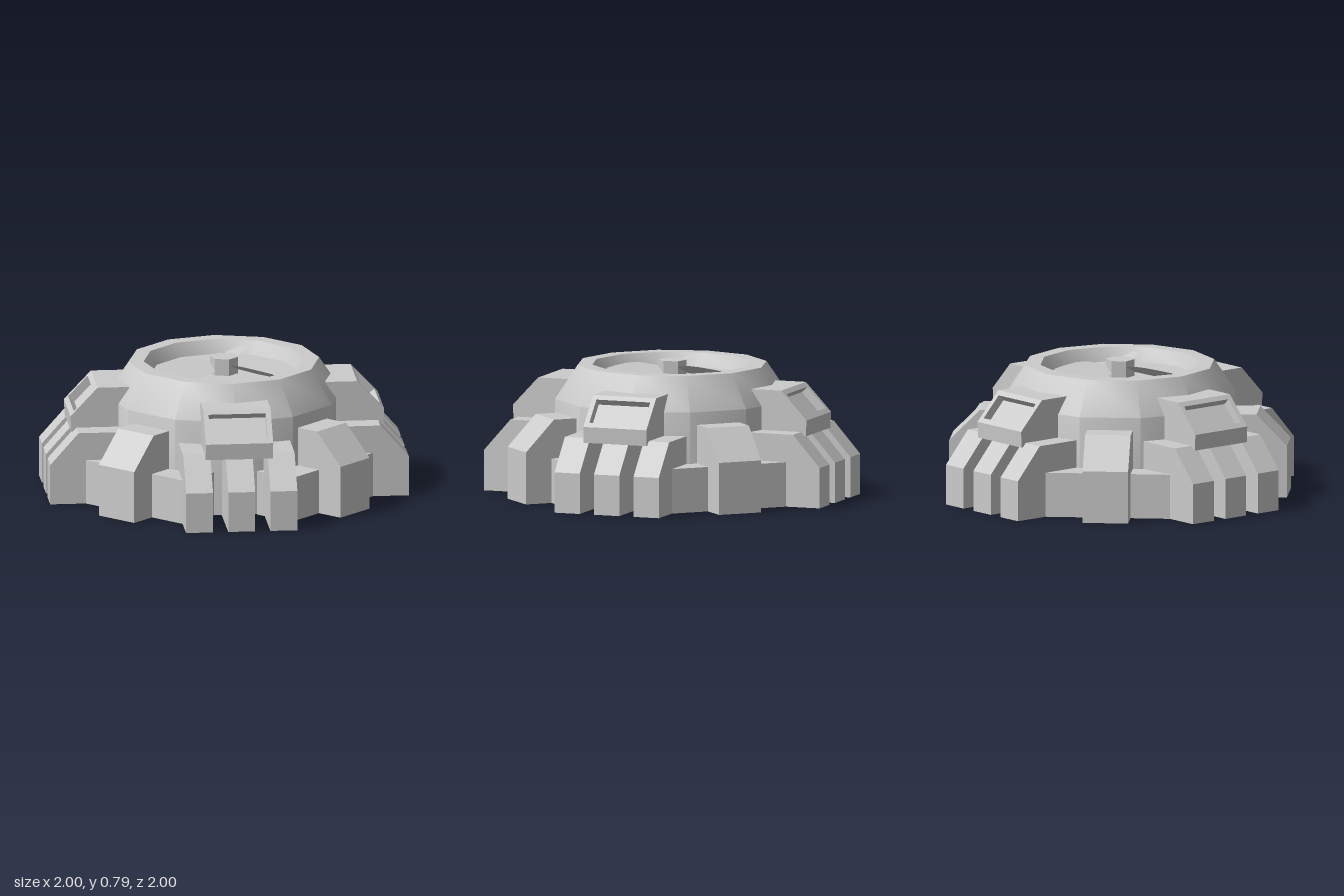
import * as THREE from 'three';
import { toCreasedNormals } from 'three/addons/utils/BufferGeometryUtils.js';

const material = new THREE.MeshStandardMaterial({ color: 0xcccccc, side: THREE.DoubleSide });

function add(parent, name, geometry) {
  const mesh = new THREE.Mesh(geometry, material);
  mesh.name = name;
  parent.add(mesh);
  return mesh;
}

// Drop the faces lying on the ground, so the part is an open shell below
function openBottom(geometry) {
  const p = geometry.attributes.position;
  const kept = [];
  for (let i = 0; i < p.count; i += 3) {
    if (Math.max(p.getY(i), p.getY(i + 1), p.getY(i + 2)) < 1e-4) continue;
    for (let j = i; j < i + 3; j++) kept.push(p.getX(j), p.getY(j), p.getZ(j));
  }
  const open = new THREE.BufferGeometry();
  open.setAttribute('position', new THREE.Float32BufferAttribute(kept, 3));
  open.computeVertexNormals();
  return open;
}

const toShape = (points) => new THREE.Shape(points.map(([x, y]) => new THREE.Vector2(x, y)));

// Side profile (distance outwards, height) extruded to a width, centred on an offset
function prism(profile, width, offset = 0) {
  const g = new THREE.ExtrudeGeometry(toShape(profile), { depth: width, bevelEnabled: false });
  g.translate(0, 0, offset - width / 2);
  return openBottom(g);
}

// Twelve-sided lathe with flats facing the four main directions
function ring(points) {
  const g = new THREE.LatheGeometry(
    points.map(([flat, y]) => new THREE.Vector2(flat / Math.cos(Math.PI / 12), y)), 12, Math.PI / 12);
  return toCreasedNormals(g, 0.7);
}

// Straight side: low platform and a sloped pier
function createSide() {
  const side = new THREE.Group();
  side.name = 'side';
  const plan = [[0.835, -0.39], [0.835, 0.39], [0.57, 0.39], [0.66, 0.18], [0.66, -0.18], [0.57, -0.39]];
  const platform = new THREE.ExtrudeGeometry(toShape(plan), { depth: 0.265, bevelEnabled: false });
  platform.rotateX(-Math.PI / 2);
  add(side, 'platform', openBottom(platform));
  add(side, 'pier', prism([[0.65, 0], [1, 0], [1, 0.31], [0.82, 0.495], [0.65, 0.495]], 0.27));
  return side;
}

// Diagonal corner: three sloped legs carrying a vent housing
function createCorner() {
  const corner = new THREE.Group();
  corner.name = 'corner';
  const leg = [[0.59, 0], [1.063, 0], [1.063, 0.24], [0.895, 0.43], [0.59, 0.43]];
  for (const offset of [-0.25, 0, 0.25]) add(corner, 'leg', prism(leg, 0.16, offset));

  // Housing: two cheeks and a middle notched along its slope
  const low = new THREE.Vector2(0.93, 0.5);
  const high = new THREE.Vector2(0.77, 0.67);
  const inward = new THREE.Vector2(-0.729, -0.686).multiplyScalar(0.05);
  const a = low.clone().lerp(high, 0.14);
  const b = low.clone().lerp(high, 0.86);
  const base = [[0.5, 0.405], [0.925, 0.405], low.toArray()];
  const top = [high.toArray(), [0.5, 0.67]];
  const notch = [a, a.clone().add(inward), b.clone().add(inward), b].map((p) => p.toArray());
  add(corner, 'ventHousing', prism([...base, ...notch, ...top], 0.34));
  for (const s of [-1, 1]) add(corner, 'ventCheek', prism([...base, ...top], 0.03, s * 0.185));
  return corner;
}

function createFan() {
  const fan = new THREE.Group();
  fan.name = 'fan';
  const hub = new THREE.CylinderGeometry(0.085, 0.085, 0.1, 6).toNonIndexed();
  hub.computeVertexNormals();
  hub.rotateY(Math.PI / 6);
  add(fan, 'hub', hub).position.y = 0.74;

  // Pitched paddle blades
  const half = [[0.04, 0.06], [0.085, 0.18], [0.085, 0.25], [0.065, 0.34], [0.045, 0.405]];
  const outline = [...half, ...half.slice().reverse().map(([x, y]) => [-x, y])];
  for (let i = 0; i < 3; i++) {
    const blade = new THREE.ShapeGeometry(toShape(outline));
    blade.rotateX(Math.PI / 2);
    // Raise the -x edge of the blade
    const p = blade.attributes.position;
    for (let j = 0; j < p.count; j++) p.setY(j, 0.735 - 0.48 * p.getX(j));
    blade.computeVertexNormals();
    add(fan, 'blade', blade).rotation.y = i * Math.PI * 2 / 3;
  }
  return fan;
}

export function createModel() {
  const model = new THREE.Group();
  model.name = 'ventilatedBunker';

  // Dome wall, chamfer, rim and fan well
  add(model, 'dome', ring([[0.675, 0], [0.675, 0.57], [0.545, 0.77], [0.46, 0.77], [0.42, 0.69]]));
  add(model, 'wellFloor', ring([[0.42, 0.69], [0, 0.69]]));
  add(model, 'ceiling', ring([[0, 0.25], [0.675, 0.25]]));
  model.add(createFan());

  for (let i = 0; i < 4; i++) {
    const side = createSide();
    side.rotation.y = i * Math.PI / 2;
    const corner = createCorner();
    corner.rotation.y = (i + 0.5) * Math.PI / 2;
    model.add(side, corner);
  }
  return model;
}
